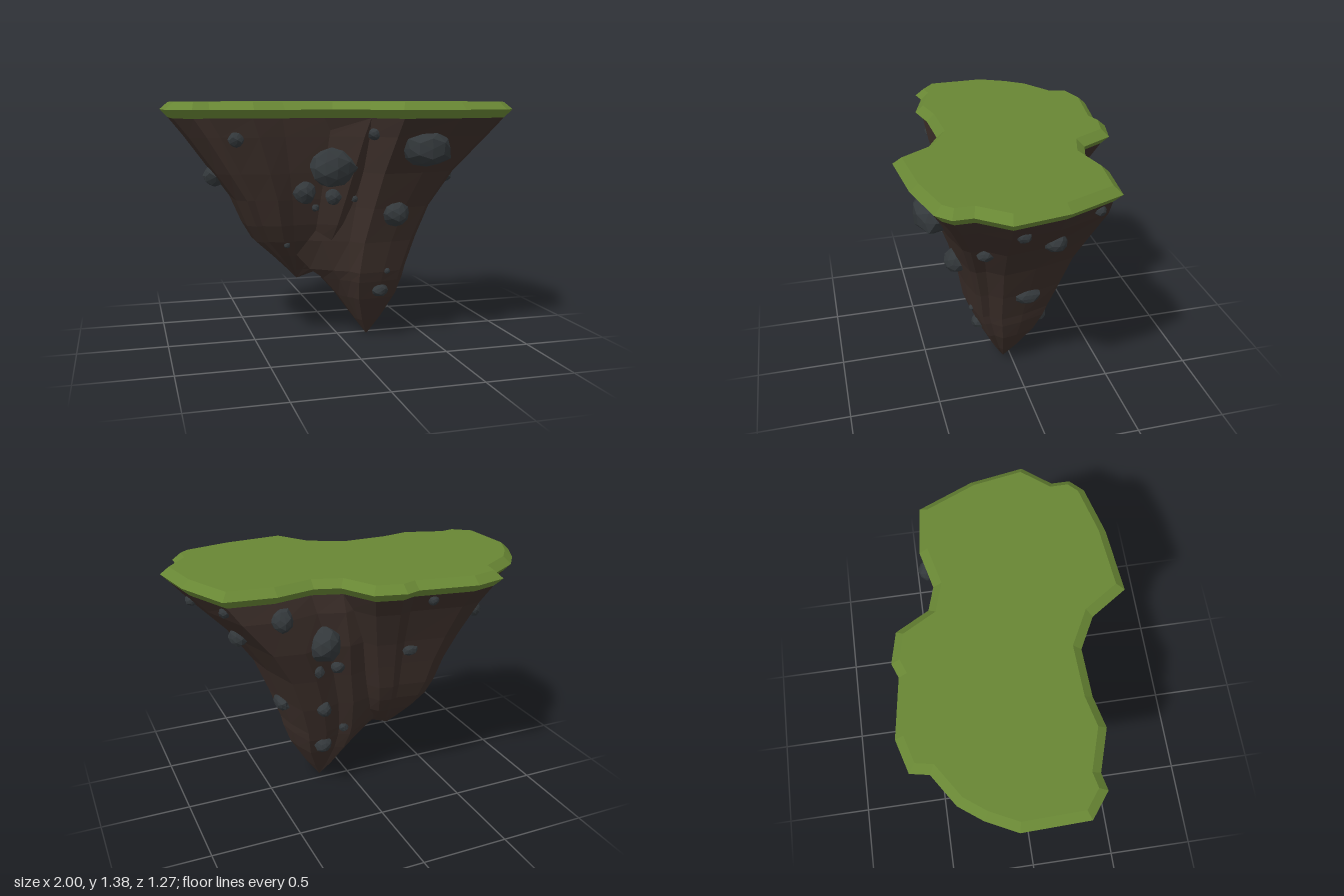
import * as THREE from 'three';

// Plan outline of the island at its widest, as [x, z]
const OUTLINE = [
  [-1, -0.1], [-0.92, -0.26], [-0.83, -0.38], [-0.66, -0.49], [-0.64, -0.59], [-0.46, -0.64],
  [-0.14, -0.59], [-0.06, -0.62], [0.11, -0.58], [0.21, -0.4], [0.34, -0.36], [0.55, -0.41],
  [0.82, -0.38], [0.95, -0.08], [1, 0.21], [0.88, 0.36], [0.88, 0.46], [0.81, 0.53],
  [0.54, 0.6], [0.18, 0.635], [0.05, 0.44], [-0.12, 0.35], [-0.38, 0.36], [-0.55, 0.4],
  [-0.77, 0.33], [-0.86, 0.35], [-0.99, 0.25],
];

const material = (color) => new THREE.MeshStandardMaterial({ color, flatShading: true, roughness: 1 });

// Moves every edge of a plan outline inwards by d
function inset(points, d) {
  const n = points.length;
  const normal = (a, b) => {
    const l = Math.hypot(b[0] - a[0], b[1] - a[1]);
    return [-(b[1] - a[1]) / l, (b[0] - a[0]) / l];
  };
  return points.map((p, i) => {
    const u = normal(points[(i + n - 1) % n], p);
    const v = normal(p, points[(i + 1) % n]);
    const k = d / Math.max(0.7, 1 + u[0] * v[0] + u[1] * v[1]);
    return [p[0] + (u[0] + v[0]) * k, p[1] + (u[1] + v[1]) * k];
  });
}

// Skin through closed rings of [x, y, z], ordered from top to bottom
function skin(rings) {
  const n = rings[0].length;
  const index = [];
  for (let r = 0; r < rings.length - 1; r++) {
    for (let i = 0; i < n; i++) {
      const a = r * n + i, b = r * n + ((i + 1) % n);
      index.push(a, b, b + n, a, b + n, a + n);
    }
  }
  const geometry = new THREE.BufferGeometry();
  geometry.setAttribute('position', new THREE.Float32BufferAttribute(rings.flat(2), 3));
  geometry.setIndex(index);
  geometry.computeVertexNormals();
  return geometry;
}

// Earth lobe: a plan ring shrinking towards its tip.
// Levels are [y, centre x, -x scale, +x scale, front scale, back scale]
function lobe(ring, [tx, tz], levels) {
  return skin(levels.map(([y, cx, minus, plus, front, back]) => ring.map(([x, z]) =>
    [cx + (x - tx) * (x < tx ? minus : plus), y, tz + (z - tz) * (z > tz ? front : back)])));
}

// Faceted boulder with seeded unevenness
function boulder(seed) {
  const geometry = new THREE.IcosahedronGeometry(1, 1);
  const p = geometry.attributes.position;
  const v = new THREE.Vector3();
  for (let i = 0; i < p.count; i++) {
    v.fromBufferAttribute(p, i);
    const k = 1.02 + 0.1 * Math.sin(seed * 2.3 + v.x * 2.9 + v.y * 4.1) * Math.cos(seed + v.z * 3.7);
    v.multiplyScalar(k);
    p.setXYZ(i, v.x, v.y, v.z);
  }
  geometry.computeVertexNormals();
  return geometry;
}

// Boulders by the side they sit on: [x or z, y, half width, half height]
const BOULDERS = {
  front: [
    [-0.1, 1.03, 0.13, 0.11], [0.37, 1.14, 0.14, 0.1], [-0.25, 0.89, 0.062, 0.065],
    [0.25, 0.77, 0.075, 0.07], [-0.09, 0.865, 0.045, 0.045], [-0.18, 0.8, 0.022, 0.022],
    [0.03, 0.85, 0.02, 0.02], [0.1, 1.215, 0.035, 0.033], [-0.63, 1.19, 0.042, 0.04],
    [0.2, 0.305, 0.05, 0.037], [0.23, 0.425, 0.018, 0.018], [-0.33, 0.58, 0.018, 0.018],
  ],
  right: [
    [0.24, 0.97, 0.045, 0.037], [0.12, 1.21, 0.036, 0.03], [-0.1, 1.05, 0.06, 0.055],
    [-0.03, 0.58, 0.075, 0.043], [-0.28, 1.26, 0.03, 0.03],
  ],
  back: [
    [0.27, 1.02, 0.09, 0.1], [0.52, 1.21, 0.055, 0.065], [-0.2, 0.94, 0.045, 0.032],
    [0.3, 0.86, 0.03, 0.035], [0.18, 0.86, 0.04, 0.035], [0.25, 0.6, 0.04, 0.045],
    [0.22, 0.32, 0.05, 0.05], [0.1, 0.42, 0.028, 0.028], [-0.25, 1.265, 0.028, 0.028],
    [-0.63, 1.1, 0.045, 0.045],
  ],
  left: [[-0.05, 0.97, 0.075, 0.06]],
};
const SIDES = { front: [0, 1], right: [1, 0], back: [0, -1], left: [-1, 0] };

export function createModel() {
  const group = new THREE.Group();
  const add = (name, geometry, mat, parent = group) => {
    const mesh = new THREE.Mesh(geometry, mat);
    mesh.name = name;
    parent.add(mesh);
    return mesh;
  };
  const grass = material(0x688634);
  const earth = material(0x3b2e29);
  const stone = material(0x33383b);

  // Grass slab with a bevelled rim
  const upper = inset(OUTLINE, 0.045);
  const lower = inset(OUTLINE, 0.042);
  const at = (ring, y) => ring.map(([x, z]) => [x, y, z]);
  add('grassRim', skin([at(upper, 1.385), at(OUTLINE, 1.345), at(lower, 1.3)]), grass);
  const topShape = new THREE.Shape(upper.map(([x, z]) => new THREE.Vector2(x, -z)));
  add('grassTop', new THREE.ShapeGeometry(topShape).rotateX(-Math.PI / 2).translate(0, 1.385, 0), grass);

  // Two merging earth lobes: the long one reaches under the shorter one as a saddle
  const longLobe = add('longEarthLobe', lobe(
    [...lower.slice(9, 21), [-0.2, 0.29], [-0.6, 0.08], [-0.6, -0.2], [-0.2, -0.28]],
    [0.17, 0.045],
    [[1.3, 0.17, 1, 1, 1, 1], [1.2, 0.16, 0.9, 0.9, 0.88, 1.03], [1, 0.13, 0.75, 0.69, 0.69, 0.98],
      [0.8, 0.1, 0.65, 0.55, 0.56, 0.84], [0.6, 0.065, 0.53, 0.49, 0.46, 0.72],
      [0.42, 0.05, 0.3, 0.43, 0.4, 0.58], [0.36, 0.053, 0.2, 0.41, 0.36, 0.53],
      [0.25, 0.07, 0.1, 0.34, 0.27, 0.4], [0.1, 0.12, 0.03, 0.16, 0.12, 0.17],
      [0, 0.17, 0, 0, 0, 0]]), earth);
  const shortLobe = add('shortEarthLobe', lobe(
    [...lower.slice(20), ...lower.slice(0, 10), [0.5, -0.2], [0.5, 0.2]],
    [-0.23, -0.08],
    [[1.3, -0.23, 1, 1, 1, 1], [1.2, -0.23, 0.89, 0.9, 0.96, 0.88], [1, -0.23, 0.69, 0.75, 0.86, 0.71],
      [0.85, -0.23, 0.54, 0.65, 0.76, 0.61], [0.7, -0.23, 0.45, 0.55, 0.64, 0.52],
      [0.6, -0.23, 0.37, 0.48, 0.52, 0.43], [0.5, -0.23, 0.22, 0.4, 0.34, 0.3],
      [0.4, -0.23, 0.08, 0.22, 0.12, 0.12], [0.34, -0.23, 0, 0, 0, 0]]), earth);

  // Boulders set into the earth wherever a line from their side meets it
  const boulders = new THREE.Group();
  boulders.name = 'boulders';
  group.add(boulders);
  const ray = new THREE.Raycaster();
  let seed = 1;
  for (const [side, list] of Object.entries(BOULDERS)) {
    const [dx, dz] = SIDES[side];
    for (const [u, y, w, h] of list) {
      const origin = new THREE.Vector3(dx ? dx * 3 : u, y, dz ? dz * 3 : u);
      ray.set(origin, new THREE.Vector3(-dx, 0, -dz));
      const hit = ray.intersectObjects([longLobe, shortLobe])[0];
      if (!hit) continue;
      const depth = Math.min(w, h);
      const rock = add('boulder', boulder(seed++), stone, boulders);
      rock.position.copy(hit.point);
      rock.scale.set(dx ? depth : w, h, dx ? w : depth);
    }
  }
  return group;
}
